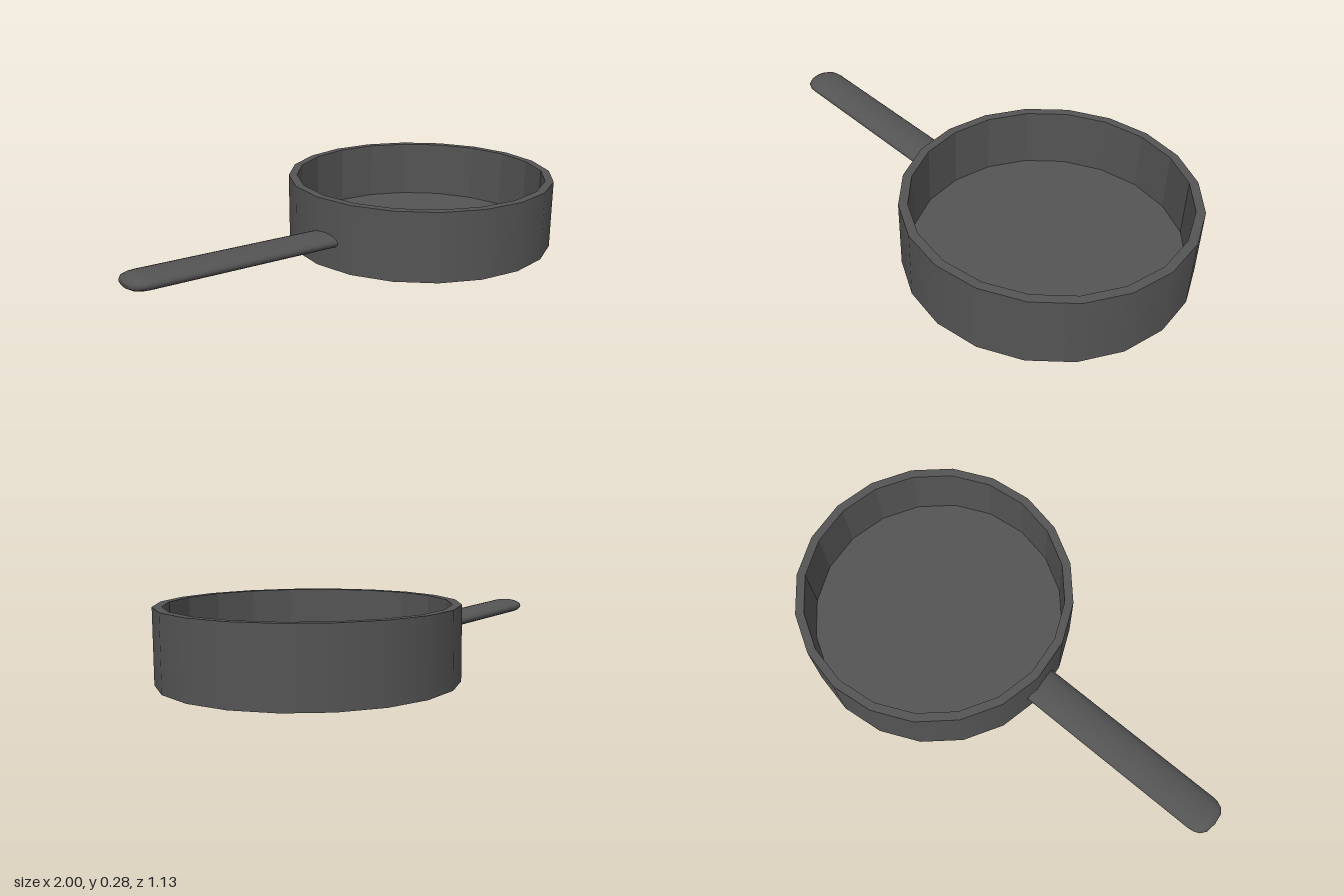
import * as THREE from 'three';

const SIDES = 20;
const R = 0.565, INNER = 0.53, HEIGHT = 0.285, FLOOR = 0.04;

// Surface of revolution from [radius, height] pairs
const lathe = (pairs, sides) =>
  new THREE.LatheGeometry(pairs.map(([r, y]) => new THREE.Vector2(r, y)), sides);

// Same, with faceted shading
function facetedLathe(pairs, sides) {
  const g = lathe(pairs, sides).toNonIndexed();
  g.computeVertexNormals();
  return g;
}

export function createModel() {
  const model = new THREE.Group();
  model.name = 'fryingPan';
  const iron = new THREE.MeshStandardMaterial({ color: 0x545454 });
  iron.name = 'dark iron';

  const add = (name, geometry, parent) => {
    const mesh = new THREE.Mesh(geometry, iron);
    mesh.name = name;
    parent.add(mesh);
    return mesh;
  };

  // Bowl: smooth outer wall, flat base and rim, faceted inside
  const bowl = new THREE.Group();
  bowl.name = 'bowl';
  bowl.position.x = 0.435;
  model.add(bowl);
  add('outerWall', lathe([[R, 0], [R, HEIGHT]], SIDES), bowl);
  add('base', facetedLathe([[0, 0], [R, 0]], SIDES), bowl);
  add('rim', facetedLathe([[R, HEIGHT], [INNER, HEIGHT]], SIDES), bowl);
  add('innerWall', facetedLathe([[INNER, HEIGHT], [INNER, FLOOR]], SIDES), bowl);
  add('floor', facetedLathe([[INNER, FLOOR], [0, FLOOR]], SIDES), bowl);

  // Handle: flattened rod with a rounded tip, tilted slightly up and forward
  const rod = lathe([
    [0, 0], [0.08, 0], [0.08, 0.82], [0.077, 0.845],
    [0.067, 0.867], [0.045, 0.884], [0, 0.89],
  ], 24);
  rod.rotateZ(Math.PI / 2);
  rod.scale(1, 0.39, 1);
  rod.rotateZ(-0.048);
  rod.rotateY(0.0225);
  add('handle', rod, model).position.set(-0.11, 0.114, 0.03);

  return model;
}
